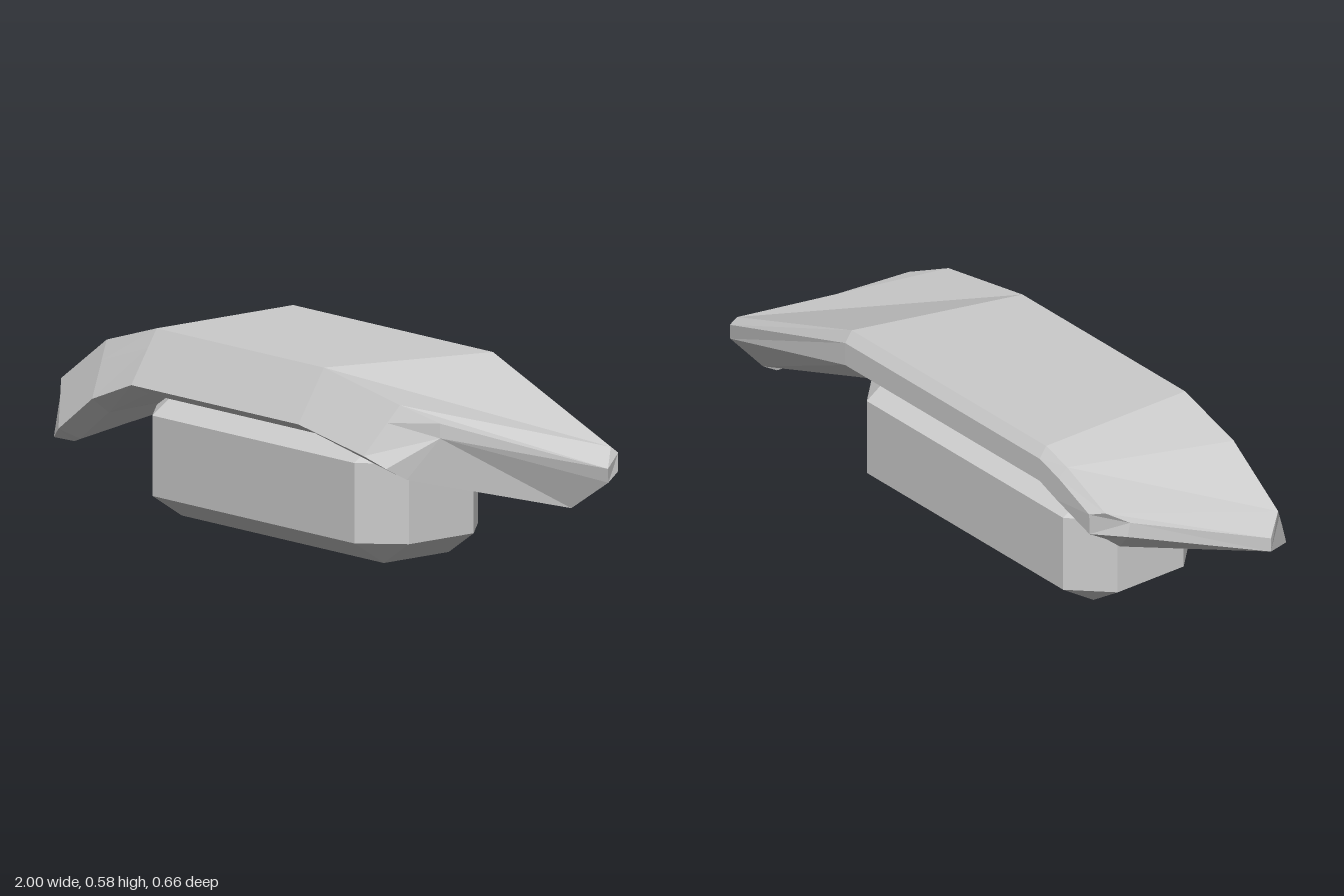
import * as THREE from 'three';
import { ConvexGeometry } from 'three/addons/geometries/ConvexGeometry.js';

// Skins a row of cross-section rings (ordered from -x to +x) and closes both ends.
function loft(rings) {
  const pos = [];
  const tri = (...pts) => pts.forEach((p) => pos.push(...p));
  const n = rings[0].length;
  for (let r = 0; r < rings.length - 1; r++) {
    const a = rings[r], b = rings[r + 1];
    for (let i = 0; i < n; i++) {
      const j = (i + 1) % n;
      tri(a[i], b[i], b[j]);
      tri(a[i], b[j], a[j]);
    }
  }
  // end caps fan out from the last point of the ring
  const first = rings[0], last = rings[rings.length - 1];
  for (let i = 0; i < n - 2; i++) {
    tri(first[n - 1], first[i], first[i + 1]);
    tri(last[n - 1], last[i + 1], last[i]);
  }
  const geo = new THREE.BufferGeometry();
  geo.setAttribute('position', new THREE.Float32BufferAttribute(pos, 3));
  geo.computeVertexNormals();
  return geo;
}

// Adds the extra point on the sloping front face between lower front and top front.
function withFront(ring) {
  const a = ring[0], g = ring[6];
  return [...ring, a.map((v, k) => v + (g[k] - v) * 0.35)];
}

// Straight middle section; xf and xb place its front and back edges.
function middle(xf, xb) {
  return withFront([
    [xf, 0.585, 0.23], [xb, 0.585, -0.305], [xb, 0.55, -0.33], [xb, 0.475, -0.33],
    [xb, 0.39, -0.22], [xf, 0.39, 0.265], [xf, 0.425, 0.33],
  ]);
}

export function createModel() {
  const group = new THREE.Group();
  const material = new THREE.MeshStandardMaterial({ color: 0xcccccc, flatShading: true });
  const add = (geo, name) => {
    const mesh = new THREE.Mesh(geo, material);
    mesh.name = name;
    group.add(mesh);
  };

  // Bent cover slab: ring order is top front, top back, back upper, back lower,
  // bottom back, bottom front, lower front, front slope
  add(loft([
    // left end face
    [[-1, 0.31, 0.17], [-0.85, 0.445, -0.25], [-0.85, 0.445, -0.25], [-0.85, 0.4, -0.26],
      [-0.74, 0.3, -0.2], [-0.87, 0.19, 0.255], [-0.9, 0.205, 0.31], [-1, 0.265, 0.17]],
    // left wing
    withFront([[-0.96, 0.365, 0.23], [-0.8, 0.475, -0.305], [-0.755, 0.46, -0.33], [-0.75, 0.39, -0.325],
      [-0.7, 0.315, -0.22], [-0.83, 0.205, 0.265], [-0.855, 0.24, 0.33]]),
    withFront([[-0.75, 0.515, 0.23], [-0.62, 0.555, -0.305], [-0.61, 0.522, -0.33], [-0.6, 0.445, -0.33],
      [-0.6, 0.355, -0.22], [-0.7, 0.305, 0.265], [-0.7, 0.355, 0.33]]),
    middle(-0.52, -0.52),
    middle(0.25, 0.4),
    // right wing
    withFront([[0.6, 0.525, 0.23], [0.96, 0.385, -0.29], [0.965, 0.365, -0.315], [0.975, 0.31, -0.305],
      [0.9, 0.225, -0.24], [0.56, 0.338, 0.275], [0.55, 0.375, 0.33]]),
    // right end face
    [[0.72, 0.48, 0.175], [1, 0.33, -0.245], [1, 0.33, -0.245], [0.99, 0.285, -0.255],
      [0.89, 0.2, -0.195], [0.66, 0.31, 0.255], [0.63, 0.345, 0.31], [0.72, 0.435, 0.175]],
  ]), 'coverSlab');

  // Base block with every edge chamfered
  const pts = [];
  for (const sx of [-1, 1]) {
    for (const sz of [-1, 1]) {
      for (const [hx, hz, levels] of [
        [0.465, 0.127, [0, 0.395]],
        [0.58, 0.127, [0.075, 0.32]],
        [0.465, 0.243, [0.075, 0.32]],
      ]) {
        for (const y of levels) pts.push(new THREE.Vector3(-0.06 + sx * hx, y, sz * hz));
      }
    }
  }
  add(new ConvexGeometry(pts), 'baseBlock');

  return group;
}
